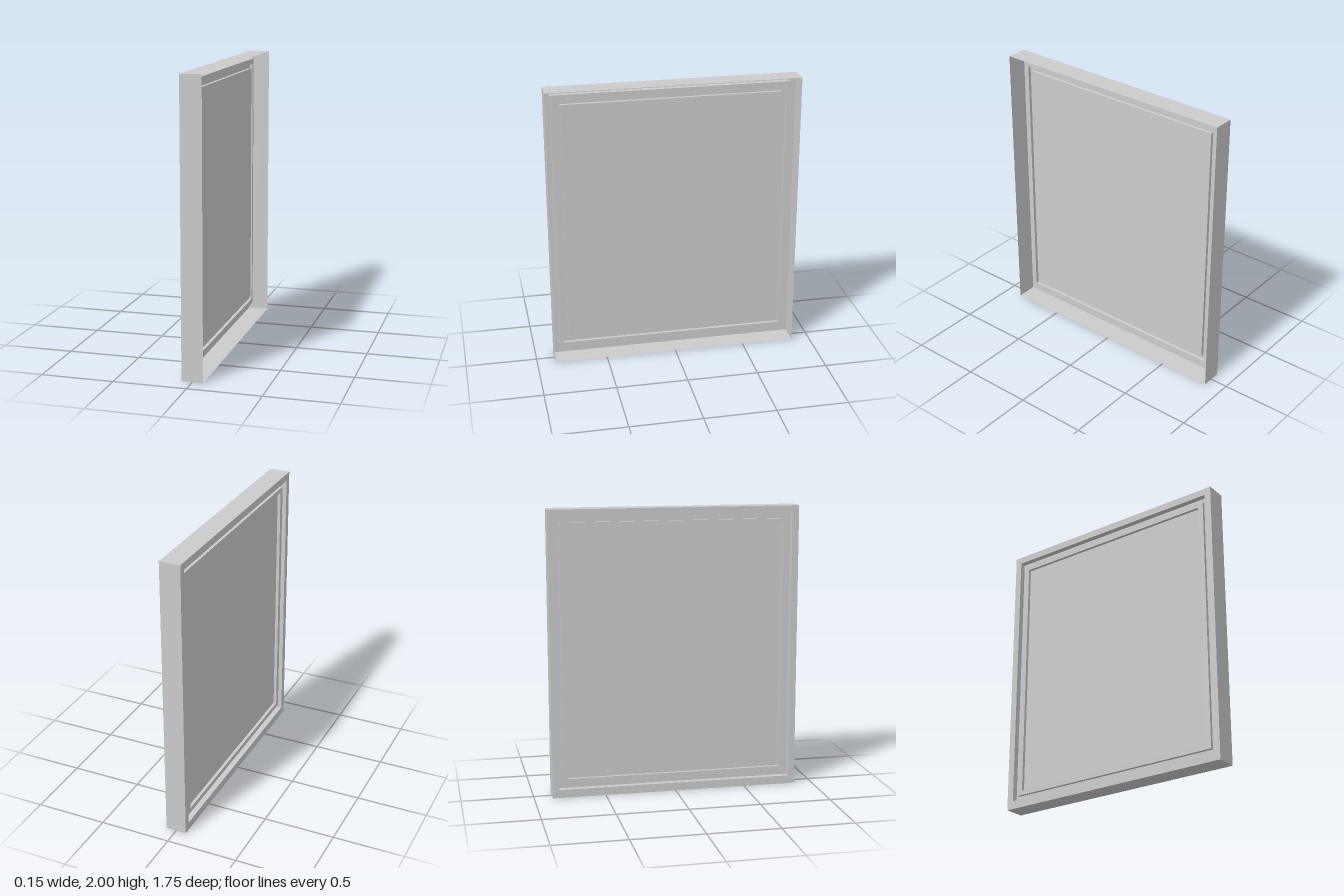
import * as THREE from 'three';

const material = new THREE.MeshStandardMaterial({ color: 0xcccccc, side: THREE.DoubleSide });

// Four corners of a rectangular section at depth x
function corners({ x, z, bottom, top }) {
  return [[x, bottom, -z], [x, bottom, z], [x, top, z], [x, top, -z]];
}

function sheet(name, quads) {
  const points = quads.flatMap(([a, b, c, d]) => [a, b, c, a, c, d]).flat();
  const geometry = new THREE.BufferGeometry();
  geometry.setAttribute('position', new THREE.Float32BufferAttribute(points, 3));
  geometry.computeVertexNormals();
  const mesh = new THREE.Mesh(geometry, material);
  mesh.name = name;
  return mesh;
}

// Thin band joining consecutive rectangular sections
function band(name, sections) {
  const quads = [];
  for (let s = 0; s + 1 < sections.length; s++) {
    const p = corners(sections[s]), q = corners(sections[s + 1]);
    for (let i = 0; i < 4; i++) {
      const j = (i + 1) % 4;
      quads.push([p[i], p[j], q[j], q[i]]);
    }
  }
  return sheet(name, quads);
}

export function createModel() {
  const group = new THREE.Group();
  group.name = 'framedPanel';

  // Nested outlines, from the rim inwards
  const rim = { z: 0.873, bottom: 0, top: 2 };
  const grooveOuter = { z: 0.825, bottom: 0.058, top: 1.949 };
  const grooveInner = { z: 0.797, bottom: 0.095, top: 1.91 };
  const panelEdge = { z: 0.76, bottom: 0.128, top: 1.88 };
  const at = (outline, x) => ({ ...outline, x });

  // Depths of the stepped sheet
  const open = 0.073, face = -0.073, recess = -0.033, ridge = -0.055;

  // Side walls, open towards +x
  group.add(band('sideWalls', [at(rim, open), at(rim, face)]));
  // Flat border on the -x side
  group.add(band('border', [at(rim, face), at(grooveOuter, face)]));
  // Groove, then the raised bead around the panel
  group.add(band('groove', [at(grooveOuter, face), at(grooveOuter, recess), at(grooveInner, recess)]));
  group.add(band('bead', [at(grooveInner, recess), at(grooveInner, ridge), at(panelEdge, ridge), at(panelEdge, recess)]));
  // Central panel
  group.add(sheet('panel', [corners(at(panelEdge, recess))]));

  return group;
}
